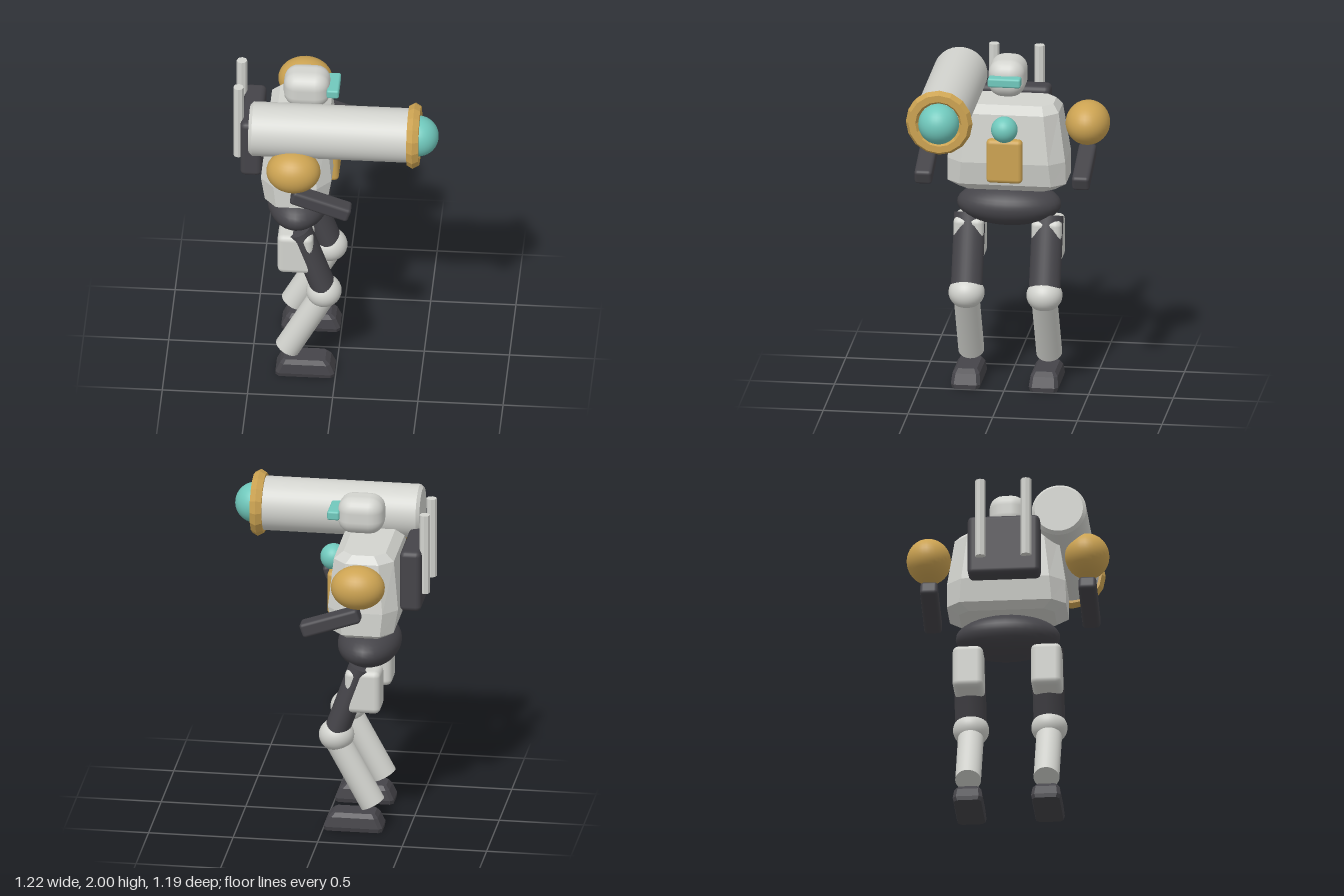
import * as THREE from 'three';
import { RoundedBoxGeometry } from 'three/addons/geometries/RoundedBoxGeometry.js';

const mat = (name, color, flatShading = false) => {
  const m = new THREE.MeshStandardMaterial({ color, flatShading });
  m.name = name;
  return m;
};

// Solid lofted through eight-sided sections, listed from the bottom up.
// Each section: [y, xMin, xMax, half depth, corner cut in x, corner cut in z]
function loft(sections) {
  const rings = sections.map(([y, x0, x1, h, cx, cz]) => [
    [x1, y, h - cz], [x1, y, cz - h], [x1 - cx, y, -h], [x0 + cx, y, -h],
    [x0, y, cz - h], [x0, y, h - cz], [x0 + cx, y, h], [x1 - cx, y, h],
  ]);
  const pos = [];
  const tri = (...points) => points.forEach((p) => pos.push(...p));
  for (let k = 0; k + 1 < rings.length; k++) {
    for (let i = 0; i < 8; i++) {
      const j = (i + 1) % 8, lo = rings[k], hi = rings[k + 1];
      tri(lo[i], lo[j], hi[j]);
      tri(lo[i], hi[j], hi[i]);
    }
  }
  const bottom = rings[0], top = rings[rings.length - 1];
  for (let i = 1; i < 7; i++) {
    tri(top[0], top[i], top[i + 1]);
    tri(bottom[0], bottom[i + 1], bottom[i]);
  }
  const g = new THREE.BufferGeometry();
  g.setAttribute('position', new THREE.Float32BufferAttribute(pos, 3));
  g.computeVertexNormals();
  return g;
}

export function createModel() {
  const model = new THREE.Group();
  model.name = 'walkingRobot';
  const shell = mat('paleGrey', 0xd2d3ce);
  const dark = mat('charcoal', 0x454449);
  const gold = mat('gold', 0xcca352);
  const teal = mat('teal', 0x70c8bc);

  const add = (name, geometry, material, x = 0, y = 0, z = 0) => {
    const mesh = new THREE.Mesh(geometry, material);
    mesh.name = name;
    mesh.position.set(x, y, z);
    model.add(mesh);
    return mesh;
  };
  const ball = (name, material, x, y, z, rx, ry = rx, rz = rx) => {
    const mesh = add(name, new THREE.SphereGeometry(1, 32, 20), material, x, y, z);
    mesh.scale.set(rx, ry, rz);
    return mesh;
  };
  const box = (name, material, x, y, z, w, h, d, r, segments = 2) =>
    add(name, new RoundedBoxGeometry(w, h, d, segments, r), material, x, y, z);
  // Round limb between two points in a plane of constant z
  const limb = (name, material, [x0, y0], [x1, y1], z, rx, rz) => {
    const length = Math.hypot(x1 - x0, y1 - y0);
    const mesh = add(name, new THREE.CylinderGeometry(1, 1, length, 28), material, (x0 + x1) / 2, (y0 + y1) / 2, z);
    mesh.scale.set(rx, 1, rz);
    mesh.rotation.z = Math.atan2(x0 - x1, y1 - y0);
    return mesh;
  };

  // Torso and waist
  add('torso', loft([
    [1.21, -0.37, -0.085, 0.28, 0.05, 0.06],
    [1.25, -0.415, -0.05, 0.35, 0.07, 0.08],
    [1.39, -0.44, -0.025, 0.348, 0.08, 0.09],
    [1.68, -0.41, -0.055, 0.305, 0.08, 0.08],
    [1.725, -0.36, -0.11, 0.27, 0.06, 0.06],
  ]), shell);
  ball('waist', dark, -0.235, 1.087, 0, 0.185, 0.127, 0.307);
  box('chestPlate', gold, -0.035, 1.408, 0, 0.08, 0.265, 0.212, 0.025);
  ball('chestLens', teal, -0.02, 1.603, 0, 0.078);

  // Head
  box('head', shell, -0.187, 1.887, 0, 0.272, 0.224, 0.218, 0.085, 3);
  box('visor', teal, -0.031, 1.893, 0, 0.072, 0.055, 0.194, 0.012);

  // Backpack with two rods
  box('backpack', dark, -0.503, 1.548, 0, 0.126, 0.372, 0.424, 0.03);
  for (const side of [1, -1]) {
    const rod = new THREE.CylinderGeometry(0.031, 0.031, 0.487, 8).toNonIndexed();
    rod.computeVertexNormals();
    add('backRod', rod, shell, -0.58, 1.706, side * 0.134);
  }

  // Shoulder cannon
  const barrel = new THREE.CylinderGeometry(0.16, 0.16, 0.95, 40);
  const barrelY = 1.79, barrelZ = 0.32;
  add('cannonBarrel', barrel, shell, -0.005, barrelY, barrelZ).rotation.z = -Math.PI / 2;
  const rear = new THREE.CylinderGeometry(0.16, 0.142, 0.02, 40);
  add('cannonRearBevel', rear, shell, -0.49, barrelY, barrelZ).rotation.z = -Math.PI / 2;
  const ring = new THREE.TorusGeometry(0.157, 0.04, 6, 16).toNonIndexed();
  ring.computeVertexNormals();
  add('cannonRing', ring, gold, 0.465, barrelY, barrelZ).rotation.y = Math.PI / 2;
  ball('cannonLens', teal, 0.489, barrelY, barrelZ, 0.12);

  // Arms and legs, mirrored across z
  for (const side of [1, -1]) {
    const armZ = side * 0.465, legZ = side * 0.23;
    ball('shoulder', gold, -0.233, 1.6, armZ, 0.159, 0.13, 0.13);
    box('forearm', dark, -0.072, 1.378, armZ, 0.36, 0.09, 0.104, 0.02).rotation.z = -0.33;

    limb('thigh', dark, [-0.22, 1.02], [-0.075, 0.61], legZ, 0.073, 0.093);
    box('hipPlate', shell, -0.235, 0.877, legZ, 0.21, 0.265, 0.18, 0.035);
    ball('knee', shell, -0.072, 0.577, legZ, 0.104, 0.096, 0.106);
    limb('shin', shell, [-0.286, 0.157], [-0.078, 0.54], legZ, 0.076, 0.076);
    add('foot', loft([
      [0, -0.35, -0.008, 0.08, 0.02, 0.02],
      [0.025, -0.352, -0.005, 0.087, 0.02, 0.02],
      [0.085, -0.325, -0.032, 0.08, 0.02, 0.02],
      [0.11, -0.305, -0.06, 0.062, 0.015, 0.015],
    ]), dark, 0, 0, legZ);
  }
  return model;
}
